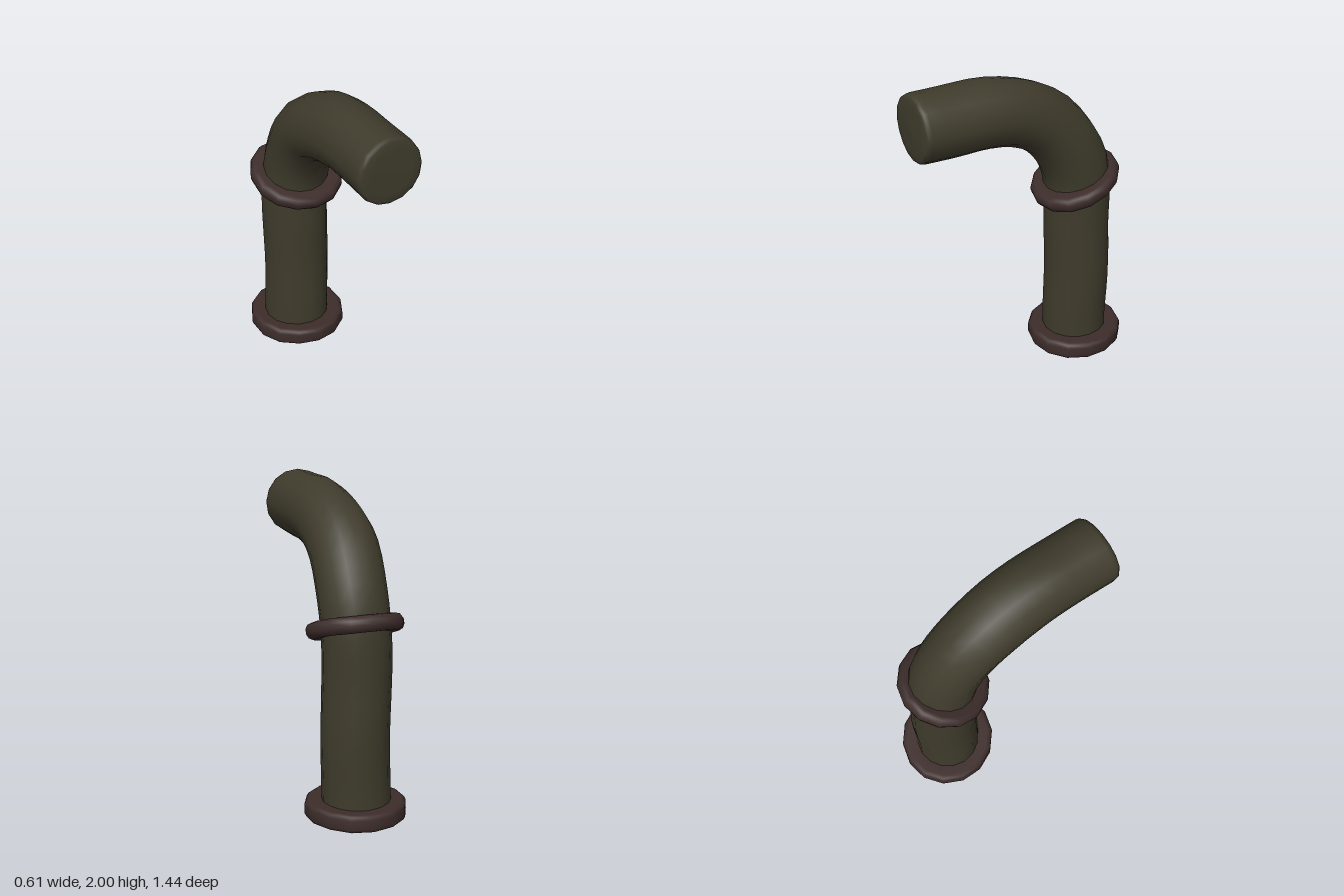
import * as THREE from 'three';
import { mergeVertices } from 'three/addons/utils/BufferGeometryUtils.js';

const pipeMaterial = new THREE.MeshStandardMaterial({ color: 0x3f3b2c });
const flangeMaterial = new THREE.MeshStandardMaterial({ color: 0x3d2d2b });

// Gentle unevenness of worn, hand-shaped metal
function wobble(geometry, amount) {
  const p = geometry.attributes.position;
  for (let i = 0; i < p.count; i++) {
    const x = p.getX(i), y = p.getY(i), z = p.getZ(i);
    p.setXYZ(i,
      x + amount * Math.sin(7 * y + 5 * z),
      y + amount * 0.6 * Math.sin(11 * x + 9 * z),
      z + amount * Math.sin(8 * y + 6 * x));
  }
  geometry.computeVertexNormals();
  return geometry;
}

// Pipe swept along a path in the x = 0 plane; each ring is [path position, radius]
function sweptPipe(curve, rings, sides) {
  const positions = [], index = [];
  rings.forEach(([u, radius], r) => {
    const c = curve.getPointAt(u), t = curve.getTangentAt(u);
    for (let s = 0; s < sides; s++) {
      const a = (s / sides) * Math.PI * 2;
      const side = Math.cos(a) * radius, up = Math.sin(a) * radius;
      positions.push(side, c.y - t.z * up, c.z + t.y * up);
      if (r === 0) continue;
      const n = (s + 1) % sides, lo = (r - 1) * sides, hi = r * sides;
      index.push(lo + s, hi + s, lo + n, lo + n, hi + s, hi + n);
    }
  });
  const g = new THREE.BufferGeometry();
  g.setAttribute('position', new THREE.Float32BufferAttribute(positions, 3));
  g.setIndex(index);
  return g;
}

// Turned ring with softened edges
function turned(profile, sides) {
  const g = new THREE.LatheGeometry(profile.map(([r, y]) => new THREE.Vector2(r, y)), sides);
  g.deleteAttribute('uv');
  g.deleteAttribute('normal');
  return mergeVertices(g, 1e-4);
}

function addMesh(group, name, geometry, material) {
  const mesh = new THREE.Mesh(geometry, material);
  mesh.name = name;
  group.add(mesh);
  return mesh;
}

export function createModel() {
  const group = new THREE.Group();
  group.name = 'bentPipe';

  // Upright pipe bending forward to a closed horizontal end
  const path = new THREE.CatmullRomCurve3([
    [0.04, -0.41], [0.4, -0.41], [0.8, -0.41], [1.1, -0.41], [1.29, -0.38], [1.47, -0.3],
    [1.63, -0.17], [1.735, 0.02], [1.782, 0.24], [1.785, 0.48], [1.785, 0.715],
  ].map(([y, z]) => new THREE.Vector3(0, y, z)));
  const rings = [];
  for (let i = 0; i <= 28; i++) rings.push([(i / 28) * 0.985, 0.211]);
  rings.push([0.994, 0.206], [0.999, 0.192], [1, 0.14], [1, 0]);
  addMesh(group, 'pipe', wobble(sweptPipe(path, rings, 16), 0.005), pipeMaterial);

  // Floor flange with a closed underside
  const base = turned([
    [0, 0], [0.28, 0], [0.302, 0.008], [0.312, 0.028], [0.312, 0.085],
    [0.302, 0.105], [0.28, 0.112], [0.19, 0.108],
  ], 14);
  addMesh(group, 'baseFlange', wobble(base, 0.004), flangeMaterial)
    .position.set(0, 0.002, -0.41);

  // Tilted collar where the bend begins
  const collar = turned([
    [0.18, -0.045], [0.255, -0.05], [0.28, -0.038], [0.292, -0.012], [0.292, 0.018],
    [0.278, 0.042], [0.255, 0.05], [0.18, 0.045],
  ], 14);
  const collarMesh = addMesh(group, 'collar', wobble(collar, 0.005), flangeMaterial);
  collarMesh.position.set(0, 1.19, -0.39);
  collarMesh.rotation.x = 0.33;

  return group;
}
